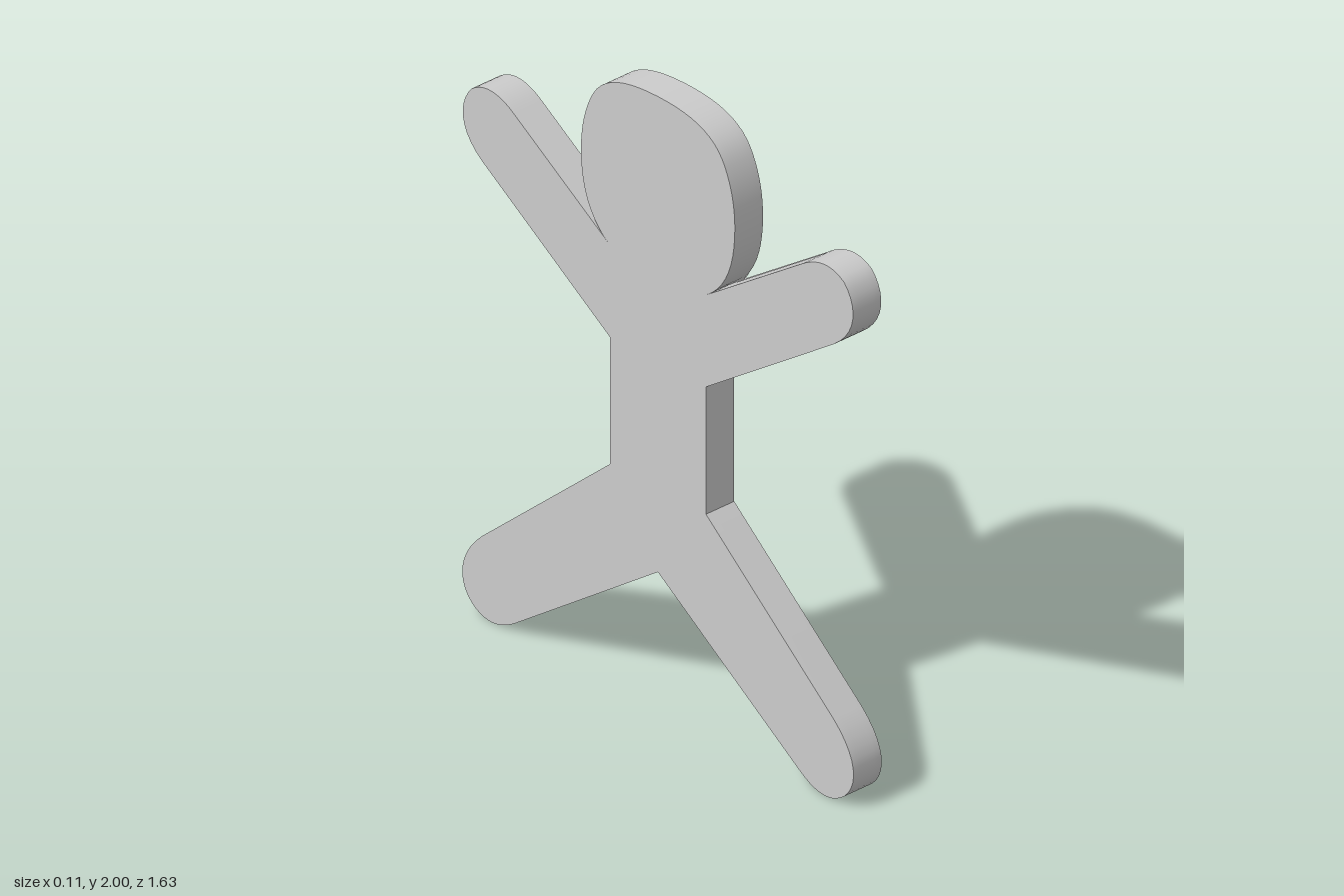
import * as THREE from 'three';
import { toCreasedNormals } from 'three/addons/utils/BufferGeometryUtils.js';

const HALF = 0.055; // half thickness of the slab
const ARMPIT = [0.2, 1.435], ARM_END = [0.6, 1.7]; // upper edge of an arm

// One half of the outline, from the top of the head down to the crotch
function halfOutline() {
  const s = new THREE.Shape();
  s.moveTo(0, 2);
  s.bezierCurveTo(0.13, 2, 0.225, 1.975, 0.27, 1.9); // head
  s.bezierCurveTo(0.305, 1.84, 0.32, 1.77, 0.32, 1.7);
  s.bezierCurveTo(0.32, 1.59, 0.29, 1.49, ...ARMPIT);
  for (let i = 1; i <= 10; i++) { // arm top, split so it can be worn down
    const t = i / 10;
    s.lineTo(ARMPIT[0] + t * (ARM_END[0] - ARMPIT[0]), ARMPIT[1] + t * (ARM_END[1] - ARMPIT[1]));
  }
  s.bezierCurveTo(0.66, 1.74, 0.72, 1.75, 0.775, 1.71); // hand
  s.bezierCurveTo(0.83, 1.65, 0.83, 1.56, 0.73, 1.49);
  s.lineTo(0.2, 1.135); // side of the trunk
  s.lineTo(0.2, 0.72);
  s.lineTo(0.73, 0.27);
  s.bezierCurveTo(0.83, 0.18, 0.835, 0.09, 0.775, 0.035); // foot
  s.bezierCurveTo(0.72, -0.01, 0.66, -0.005, 0.59, 0.043);
  s.lineTo(0, 0.45);
  return s.getPoints(10);
}

export function createModel() {
  const group = new THREE.Group();
  group.name = 'figure';

  // Full outline: the half and its mirror image
  const half = halfOutline();
  const mirrored = half.slice(1, -1).reverse().map((p) => new THREE.Vector2(-p.x, p.y));
  const geometry = new THREE.ExtrudeGeometry(new THREE.Shape([...half, ...mirrored]), {
    depth: HALF * 2, steps: 4, bevelEnabled: false,
  });
  geometry.translate(0, 0, -HALF);
  geometry.rotateY(Math.PI / 2);

  // Worn dip along the upper edge of the front arm, on the +x side only
  const pos = geometry.attributes.position;
  const slope = (ARM_END[1] - ARMPIT[1]) / (ARM_END[0] - ARMPIT[0]);
  for (let i = 0; i < pos.count; i++) {
    const z = pos.getZ(i), y = pos.getY(i);
    const t = (z - ARMPIT[0]) / (ARM_END[0] - ARMPIT[0]);
    const onEdge = Math.abs(y - ARMPIT[1] - slope * (z - ARMPIT[0])) < 0.002;
    if (pos.getX(i) > HALF - 0.001 && onEdge && t > 0.01 && t < 0.99) {
      const drop = 0.045 * Math.min(1, t * 5, (1 - t) * 5);
      pos.setY(i, y - drop * 0.83);
      pos.setZ(i, z + drop * 0.55);
    }
  }

  const body = new THREE.Mesh(
    toCreasedNormals(geometry, 0.55),
    new THREE.MeshStandardMaterial({ color: 0xcccccc }),
  );
  body.name = 'body';
  group.add(body);
  return group;
}
